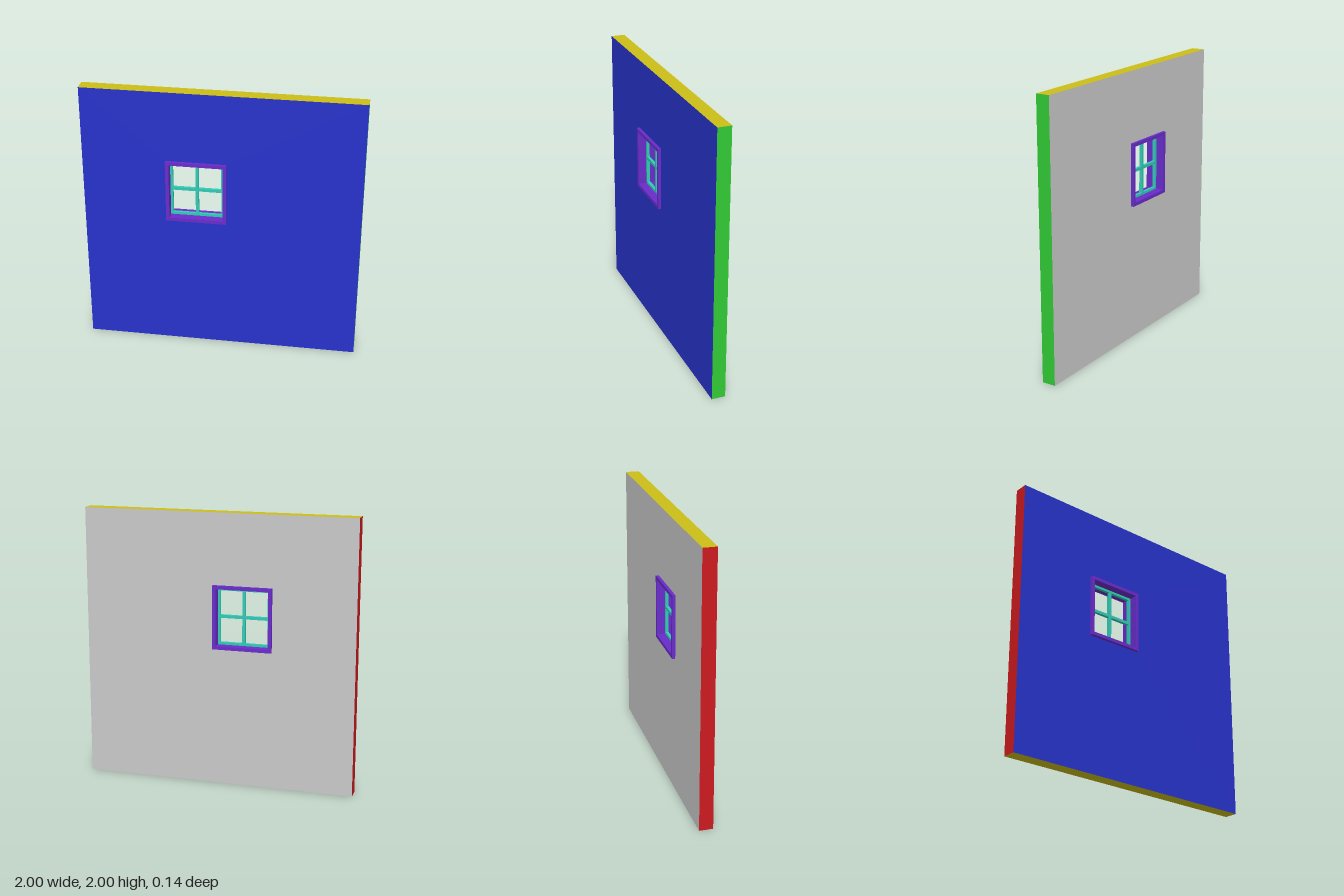
import * as THREE from 'three';

const WALL = { w: 2, h: 2, d: 0.1 };
// Window opening: centre, outer size of the casing
const WIN = { x: -0.18, y: 1.25, w: 0.435, h: 0.465 };

const paint = (color) => new THREE.MeshStandardMaterial({ color });

function part(name, geometry, material) {
  const mesh = new THREE.Mesh(geometry, material);
  mesh.name = name;
  return mesh;
}

// Closed rectangle on any Path or Shape, given its centre and size
function rect(path, x, y, w, h) {
  path.moveTo(x - w / 2, y - h / 2);
  path.lineTo(x + w / 2, y - h / 2);
  path.lineTo(x + w / 2, y + h / 2);
  path.lineTo(x - w / 2, y + h / 2);
  path.closePath();
  return path;
}

// Rectangular ring of given border, extruded symmetrically about z = 0
function ring(x, y, w, h, border, depth) {
  const shape = rect(new THREE.Shape(), x, y, w, h);
  shape.holes.push(rect(new THREE.Path(), x, y, w - 2 * border, h - 2 * border));
  const g = new THREE.ExtrudeGeometry(shape, { depth, bevelEnabled: false });
  return g.translate(0, 0, -depth / 2);
}

function createWall() {
  const wall = new THREE.Group();
  wall.name = 'wall';

  // Two large faces with the window opening cut out
  const faceShape = rect(new THREE.Shape(), 0, WALL.h / 2, WALL.w, WALL.h);
  faceShape.holes.push(rect(new THREE.Path(), WIN.x, WIN.y, WIN.w, WIN.h));
  const front = new THREE.ShapeGeometry(faceShape).translate(0, 0, WALL.d / 2);

  const mirrored = rect(new THREE.Shape(), 0, WALL.h / 2, WALL.w, WALL.h);
  mirrored.holes.push(rect(new THREE.Path(), -WIN.x, WIN.y, WIN.w, WIN.h));
  const back = new THREE.ShapeGeometry(mirrored)
    .translate(0, 0, WALL.d / 2)
    .rotateY(Math.PI);

  wall.add(part('wallFront', front, paint(0x2833cc)));
  wall.add(part('wallBack', back, paint(0xcccccc)));

  // Narrow edges, each with its own colour
  const side = () => new THREE.PlaneGeometry(WALL.d, WALL.h);
  const cap = () => new THREE.PlaneGeometry(WALL.w, WALL.d);
  const olive = paint(0xccbe18);
  wall.add(
    part('wallLeftEdge', side().rotateY(Math.PI / 2).translate(WALL.w / 2, WALL.h / 2, 0), paint(0x32cc37)),
    part('wallRightEdge', side().rotateY(-Math.PI / 2).translate(-WALL.w / 2, WALL.h / 2, 0), paint(0xcc1a1e)),
    part('wallTopEdge', cap().rotateX(-Math.PI / 2).translate(0, WALL.h, 0), olive),
    part('wallBottomEdge', cap().rotateX(Math.PI / 2), olive)
  );
  return wall;
}

function createWindow() {
  const group = new THREE.Group();
  group.name = 'window';
  const casing = paint(0x6a2ccc);
  const teal = paint(0x34ccb8);

  // Casing stands proud of the wall on both sides
  const border = 0.025;
  group.add(part('windowCasing', ring(WIN.x, WIN.y, WIN.w, WIN.h, border, 0.144), casing));

  // Thin sash set midway in the casing
  const w = WIN.w - 2 * border;
  const h = WIN.h - 2 * border;
  const rail = 0.018;
  const depth = 0.022;
  group.add(part('windowSash', ring(WIN.x, WIN.y, w, h, rail, depth), teal));

  // Glazing bars forming four panes
  const bar = 0.022;
  const upright = new THREE.BoxGeometry(bar, h - 2 * rail, depth);
  group.add(part('verticalBar', upright.translate(WIN.x, WIN.y, 0), teal));
  const half = (w - 2 * rail - bar) / 2;
  for (const s of [-1, 1]) {
    const cross = new THREE.BoxGeometry(half, bar, depth);
    cross.translate(WIN.x + s * (bar + half) / 2, WIN.y, 0);
    group.add(part('horizontalBar', cross, teal));
  }
  return group;
}

export function createModel() {
  const model = new THREE.Group();
  model.name = 'wallWithWindow';
  model.add(createWall(), createWindow());
  return model;
}
